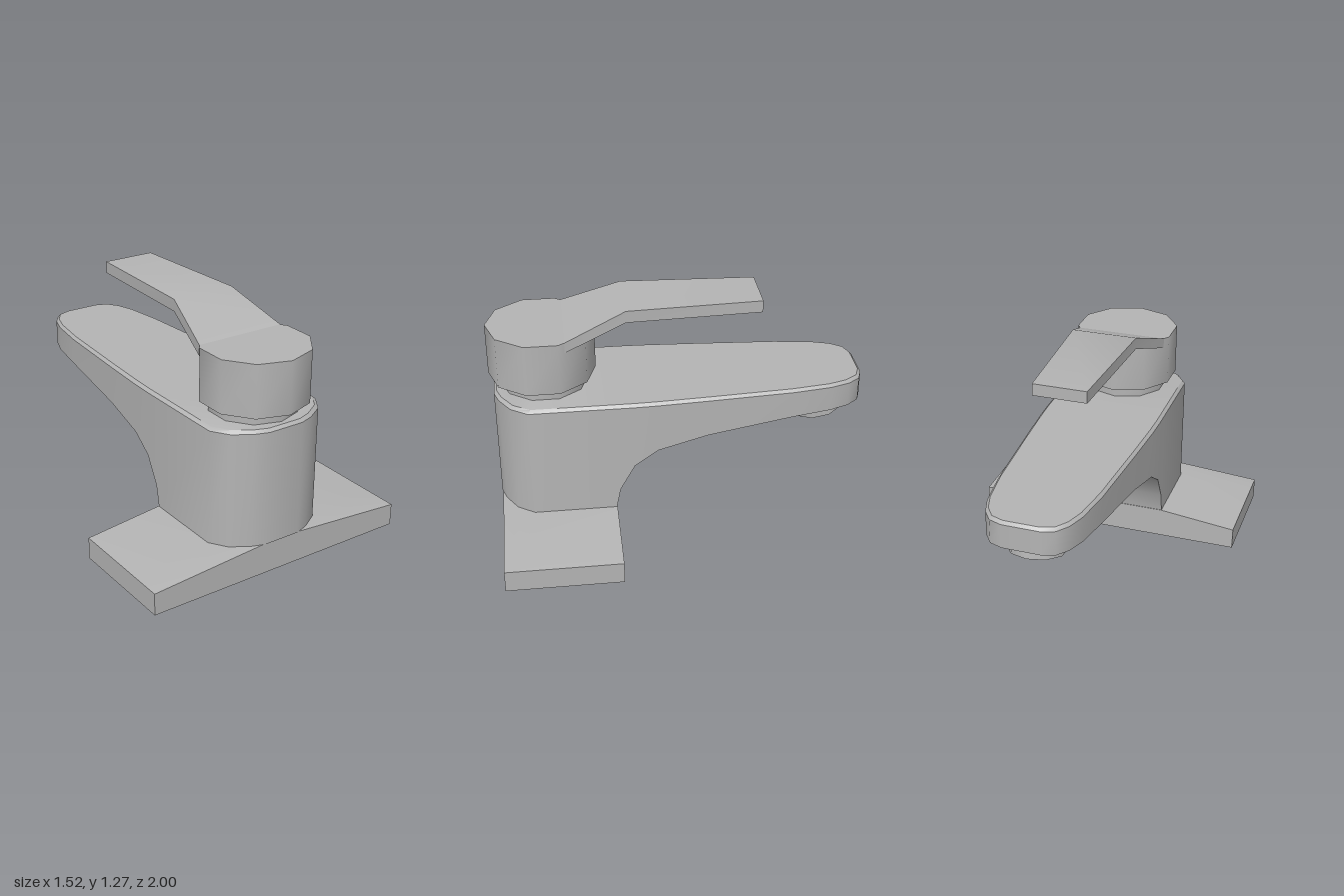
import * as THREE from 'three';
import { toCreasedNormals } from 'three/addons/utils/BufferGeometryUtils.js';

const CREASE = 0.68;

// Skins cross-section loops (ordered by rising z, each going up the -x side and down the +x side).
function loft(rows) {
  const n = rows[0].length, pos = [];
  const quad = (a, b, c, d) => pos.push(...a, ...b, ...c, ...a, ...c, ...d);
  for (let i = 0; i < rows.length - 1; i++) {
    const p = rows[i], q = rows[i + 1];
    for (let j = 0; j < n; j++) {
      const k = (j + 1) % n;
      quad(p[j], q[j], q[k], p[k]);
    }
  }
  const first = rows[0], last = rows[rows.length - 1];
  for (let j = 0; j < n / 2 - 1; j++) {
    const k = n - 1 - j;
    quad(first[j], first[j + 1], first[k - 1], first[k]);
    quad(last[k], last[k - 1], last[j + 1], last[j]);
  }
  const geo = new THREE.BufferGeometry();
  geo.setAttribute('position', new THREE.Float32BufferAttribute(pos, 3));
  return toCreasedNormals(geo, CREASE);
}

// Completes a half section on the -x side by mirroring it.
const mirrored = (half) => [...half, ...half.slice().reverse().map(([x, y, z]) => [-x, y, z])];

export function createModel() {
  const group = new THREE.Group();
  const metal = new THREE.MeshStandardMaterial({ color: 0xb4b4b4 });
  metal.name = 'brushed grey metal';
  const add = (name, geo) => {
    const mesh = new THREE.Mesh(geo, metal);
    mesh.name = name;
    group.add(mesh);
    return mesh;
  };

  // Base plate: its sloping top rises to meet the foot of the body
  const plate = [[0.355, 0.33], [0.8, 0.33], [0.89, 0.27], [0.95, 0.175], [0.97, 0.11]];
  add('basePlate', loft(plate.map(([z, x]) =>
    mirrored([[-0.762, 0, z], [-0.762, 0.12, z], [-x, 0.17, z]]))));

  // Body and spout: [z, half width, underside height], with a chamfered top rim
  const body = [
    [-1, 0.1, 0.658], [-0.975, 0.17, 0.657], [-0.91, 0.217, 0.654], [-0.81, 0.25, 0.65],
    [-0.6, 0.28, 0.64], [-0.14, 0.312, 0.58], [0.13, 0.328, 0.515], [0.255, 0.332, 0.43],
    [0.335, 0.332, 0.285], [0.358, 0.332, 0.17], [0.8, 0.332, 0.17], [0.89, 0.272, 0.17],
    [0.95, 0.175, 0.17], [0.975, 0.1, 0.17],
  ];
  add('bodyAndSpout', loft(body.map(([z, w, y]) =>
    mirrored([[-w, y, z], [-w, 0.79, z], [-w * 0.95, 0.806, z * 0.985]]))));

  // Neck and ten-sided cartridge head
  const drum = (name, r, y0, y1, z) => {
    const geo = new THREE.CylinderGeometry(r, r, y1 - y0, 10);
    add(name, toCreasedNormals(geo, CREASE)).position.set(0, (y0 + y1) / 2, z);
  };
  drum('neck', 0.232, 0.79, 0.87, 0.705);
  drum('head', 0.285, 0.865, 1.147, 0.715);

  // Lever: [z, half width, bottom, top]
  const lever = [[-0.44, 0.145, 1.207, 1.272], [0.275, 0.18, 1.207, 1.272], [0.595, 0.25, 1.09, 1.147]];
  add('lever', loft(lever.map(([z, w, y0, y1]) => mirrored([[-w, y0, z], [-w, y1, z]]))));

  // Tilted outlet nozzle with a shallow recess
  const profile = [[0, 0.03], [0.115, 0.03], [0.115, 0], [0.154, 0], [0.154, 0.13]]
    .map(([x, y]) => new THREE.Vector2(x, y));
  const nozzle = add('nozzle', toCreasedNormals(new THREE.LatheGeometry(profile, 10), CREASE));
  nozzle.position.set(0, 0.547, -0.785);
  nozzle.rotation.x = 0.18;

  return group;
}
